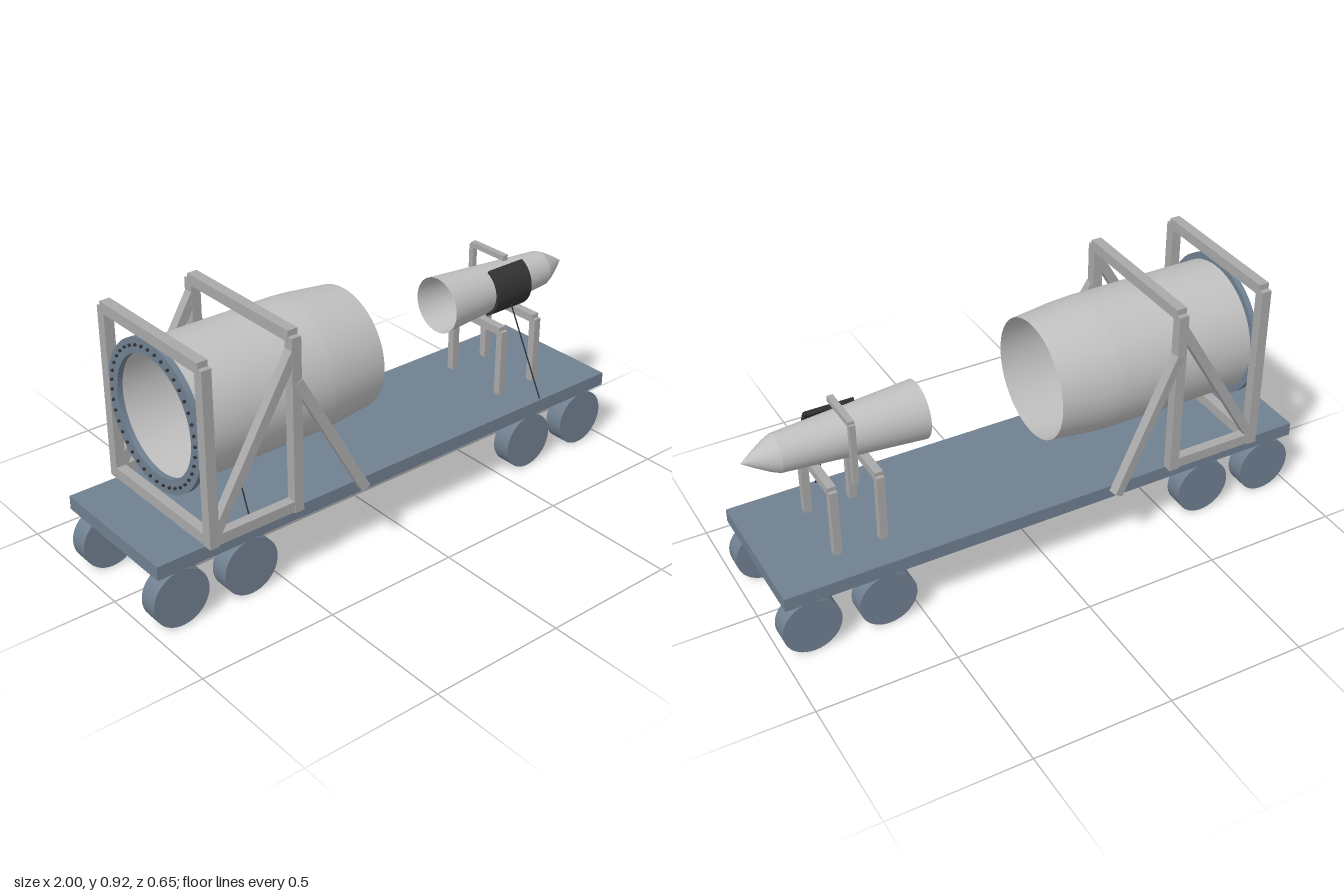
import * as THREE from 'three';

const mat = (name, color, side = THREE.FrontSide) => {
  const m = new THREE.MeshStandardMaterial({ color, side });
  m.name = name;
  return m;
};

export function createModel() {
  const model = new THREE.Group();
  model.name = 'displayWagon';
  const slate = mat('slate', 0x708090);
  const frameGrey = mat('frameGrey', 0xa9a9a9);
  const silver = mat('silver', 0xc0c0c0, THREE.DoubleSide);
  const dark = mat('darkGrey', 0x333333);

  const add = (name, geo, material, parent = model) => {
    const mesh = new THREE.Mesh(geo, material);
    mesh.name = name;
    parent.add(mesh);
    return mesh;
  };
  const group = (name) => {
    const g = new THREE.Group();
    g.name = name;
    model.add(g);
    return g;
  };
  // Box given by its lower and upper corners
  const box = (name, a, b, material, parent) => {
    const m = add(name, new THREE.BoxGeometry(b[0] - a[0], b[1] - a[1], b[2] - a[2]), material, parent);
    m.position.set((a[0] + b[0]) / 2, (a[1] + b[1]) / 2, (a[2] + b[2]) / 2);
    return m;
  };
  // Square bar or round rope running between two points
  const between = (name, a, b, size, material, parent, round = false) => {
    const p = new THREE.Vector3(...a), q = new THREE.Vector3(...b);
    const len = p.distanceTo(q);
    const geo = round
      ? new THREE.CylinderGeometry(size, size, len, 8).rotateX(Math.PI / 2)
      : new THREE.BoxGeometry(size, size, len);
    const m = add(name, geo, material, parent);
    m.position.copy(p).add(q).multiplyScalar(0.5);
    m.lookAt(q);
    return m;
  };
  // Surface of revolution along x from [x, radius] points
  const turned = (name, pts, y, material, parent) => {
    const geo = new THREE.LatheGeometry(pts.map(([x, r]) => new THREE.Vector2(r, x)), 64);
    const m = add(name, geo.rotateZ(-Math.PI / 2), material, parent);
    m.position.y = y;
    return m;
  };

  // Flat deck and eight wheels
  box('deck', [-0.988, 0.22, -0.26], [0.985, 0.27, 0.26], slate);
  const wheels = group('wheels');
  for (const x of [-0.896, -0.627, 0.622, 0.893]) {
    for (const s of [-1, 1]) {
      const wheel = add('wheel', new THREE.CylinderGeometry(0.104, 0.104, 0.07, 40).rotateX(Math.PI / 2), slate, wheels);
      wheel.position.set(x, 0.104, s * 0.209);
    }
  }

  // Large open drum, tapering toward its free end
  const drum = group('drum');
  const axis = 0.617;
  turned('drumBody', [[-0.8, 0.237], [-0.27, 0.237]], axis, silver, drum);
  turned('drumTaper', [[-0.27, 0.237], [-0.2, 0.233], [-0.05, 0.217]], axis, silver, drum);

  // Bolted flange
  const ring = new THREE.Shape().absarc(0, 0, 0.259, 0, Math.PI * 2);
  ring.holes.push(new THREE.Path().absarc(0, 0, 0.208, 0, Math.PI * 2, true));
  const flangeGeo = new THREE.ExtrudeGeometry(ring, { depth: 0.02, bevelEnabled: false, curveSegments: 48 });
  const flange = add('flange', flangeGeo.rotateY(Math.PI / 2), slate, drum);
  flange.position.set(-0.808, axis, 0);
  for (let i = 0; i < 40; i++) {
    const a = (i / 40) * Math.PI * 2;
    const bolt = add('bolt', new THREE.CylinderGeometry(0.005, 0.005, 0.008, 8).rotateZ(Math.PI / 2), dark, drum);
    bolt.position.set(-0.811, axis + 0.235 * Math.sin(a), 0.235 * Math.cos(a));
  }

  // Two portal frames carrying the drum
  const cradle = group('drumFrame');
  for (const x of [-0.793, -0.463]) {
    for (const s of [-1, 1]) {
      box('post', [x - 0.018, 0.27, s * 0.27 - 0.019], [x + 0.018, 0.896, s * 0.27 + 0.019], frameGrey, cradle);
    }
    box('topBeam', [x - 0.019, 0.878, -0.27], [x + 0.019, 0.917, 0.27], frameGrey, cradle);
  }
  box('bottomBeam', [-0.811, 0.272, -0.25], [-0.775, 0.312, 0.25], frameGrey, cradle);
  for (const s of [-1, 1]) {
    box('sideRail', [-0.775, 0.275, s * 0.27 - 0.018], [-0.481, 0.313, s * 0.27 + 0.018], frameGrey, cradle);
    between('diagonal', [-0.79, 0.3, s * 0.27], [-0.463, 0.85, s * 0.27], 0.034, frameGrey, cradle);
    between('outerBrace', [-0.457, 0.74, s * 0.274], [-0.212, 0.275, s * 0.308], 0.034, frameGrey, cradle);
  }

  // Pointed body, open at the wide end
  const body = group('pointedBody');
  const coneY = 0.638;
  turned('coneBody', [[0.375, 0.103], [0.875, 0.066]], coneY, silver, body);
  turned('noseTip', [[0.875, 0.066], [0.905, 0.053], [0.95, 0.027], [0.992, 0]], coneY, silver, body);

  // Curved panel wrapped round one side of the body
  const t = 1.12;
  const arc = new THREE.Shape();
  arc.absarc(0, 0, 0.099, -t, t, false);
  arc.absarc(0, 0, 0.085, t, -t, true);
  const panelGeo = new THREE.ExtrudeGeometry(arc, { depth: 0.165, bevelEnabled: false, curveSegments: 24 });
  // Arc opens toward -z, length runs along x
  const panel = add('sidePanel', panelGeo.rotateY(-Math.PI / 2), dark, body);
  panel.position.set(0.745, coneY, 0);

  // Low trestles under the body
  const stand = group('bodyStand');
  for (const x of [0.58, 0.745]) {
    for (const s of [-1, 1]) {
      box('leg', [x - 0.014, 0.27, s * 0.125 - 0.014], [x + 0.014, 0.522, s * 0.125 + 0.014], frameGrey, stand);
    }
    box('crossBar', [x - 0.015, 0.507, -0.126], [x + 0.015, 0.537, 0.126], frameGrey, stand);
  }

  // Angled hanger over the body
  box('hangerPost', [0.652, 0.525, -0.135], [0.672, 0.753, -0.115], frameGrey, stand);
  box('hangerArm', [0.651, 0.744, -0.125], [0.673, 0.764, 0.042], frameGrey, stand);

  // Thin stay rods
  between('drumRod', [-0.627, 0.27, 0.25], [-0.627, 0.813, 0.042], 0.0025, dark, model, true);
  between('panelRod', [0.662, 0.27, 0.25], [0.662, 0.6, 0.075], 0.0025, dark, model, true);

  return model;
}
